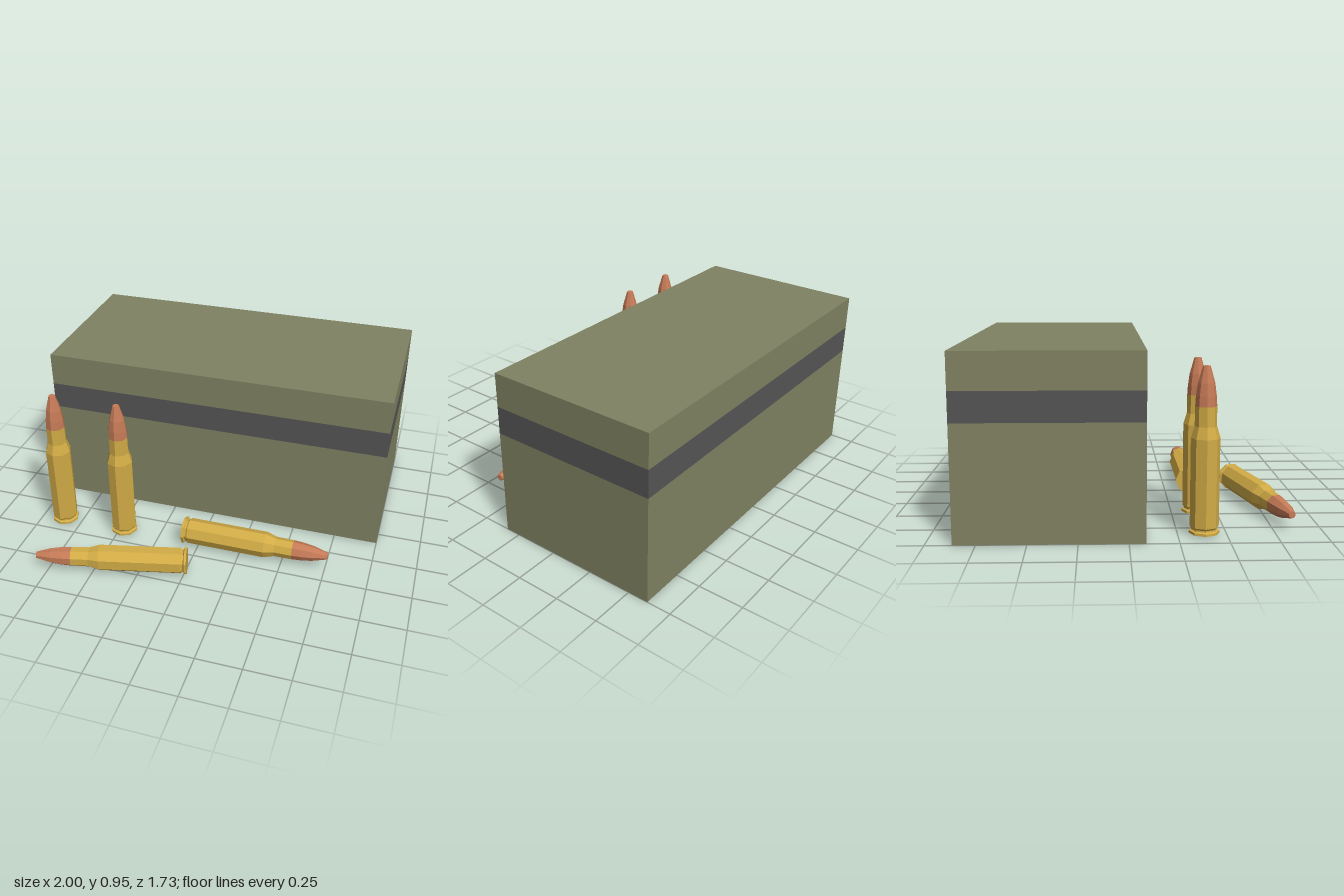
import * as THREE from 'three';

const flat = (name, color) => {
  const m = new THREE.MeshStandardMaterial({ color, flatShading: true });
  m.name = name;
  return m;
};

export function createModel() {
  const group = new THREE.Group();
  const olive = flat('olive', 0x808262);
  const grey = flat('dark grey', 0x555555);
  const brass = flat('brass', 0xd2ac46);
  const copper = flat('copper', 0xc67b57);

  // Ammunition box: three stacked layers, the middle one is the band
  const box = new THREE.Group();
  box.name = 'ammoBox';
  const layers = [
    ['boxBody', 0, 0.605, olive],
    ['boxBand', 0.605, 0.76, grey],
    ['boxTop', 0.76, 0.95, olive],
  ];
  for (const [name, y0, y1, material] of layers) {
    const layer = new THREE.Mesh(new THREE.BoxGeometry(2, y1 - y0, 0.95), material);
    layer.name = name;
    layer.position.set(0, (y0 + y1) / 2, -0.39);
    box.add(layer);
  }
  group.add(box);

  // Eight-sided cartridge, base at the origin and tip along +y
  const lathe = (points) =>
    new THREE.LatheGeometry(points.map(([r, y]) => new THREE.Vector2(r, y)), 8);
  const caseGeometry = lathe([
    [0, 0], [0.078, 0], [0.078, 0.013], [0.066, 0.018], [0.066, 0.026],
    [0.074, 0.036], [0.074, 0.49], [0.056, 0.55], [0.055, 0.65],
  ]);
  const bulletGeometry = lathe([
    [0.055, 0.65], [0.052, 0.7], [0.043, 0.765], [0.019, 0.85], [0, 0.85],
  ]);

  const addCartridge = (name, position, yaw = 0, tilt = 0, roll = 0) => {
    const cartridge = new THREE.Group();
    cartridge.name = name;
    const parts = [['case', caseGeometry, brass], ['bullet', bulletGeometry, copper]];
    for (const [part, geometry, material] of parts) {
      const mesh = new THREE.Mesh(geometry, material);
      mesh.name = part;
      mesh.rotation.y = roll;
      cartridge.add(mesh);
    }
    cartridge.position.set(...position);
    cartridge.rotation.set(0, yaw, tilt);
    group.add(cartridge);
  };

  // Two standing and two lying cartridges
  addCartridge('standingCartridgeOuter', [-0.855, 0.01, 0.385]);
  addCartridge('standingCartridgeInner', [-0.47, 0.01, 0.385]);
  addCartridge('lyingCartridgeLeft', [-0.09, 0.085, 0.385], 0, -Math.PI / 2);
  addCartridge('lyingCartridgeFront', [0.013, 0.085, 0.648], 0.23, Math.PI / 2, Math.PI / 8);

  return group;
}
